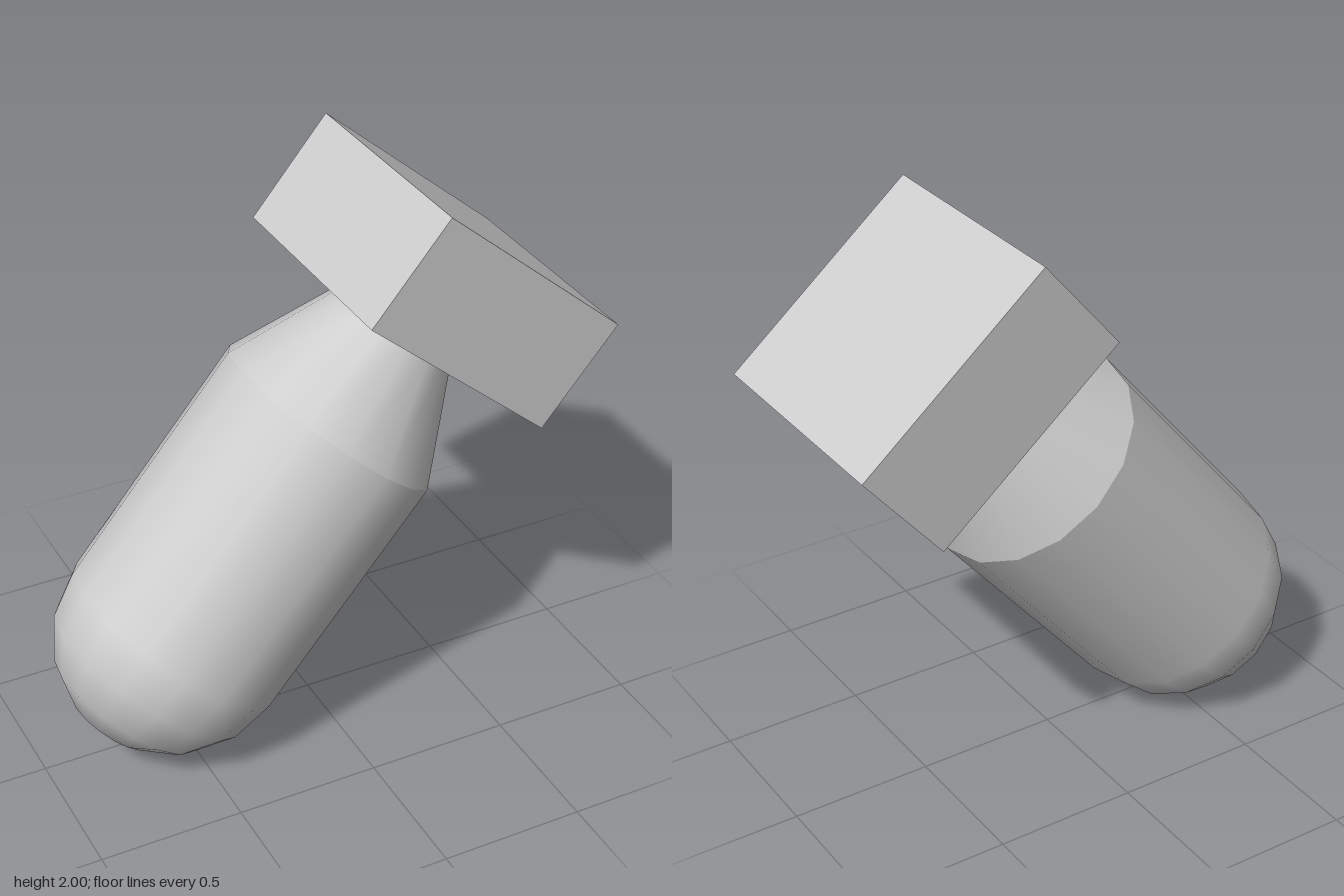
import * as THREE from 'three';

export function createModel() {
  const model = new THREE.Group();
  model.name = 'tiltedBottle';
  const material = new THREE.MeshStandardMaterial({ color: 0xcccccc });

  const R = 0.408, neckR = 0.222, sides = 16;
  const bodyLen = 0.917, neckLen = 0.39;
  const capWidth = 0.834, capHeight = 0.419;

  // The whole piece leans 40 degrees toward +x, pivoting at the round end's centre
  const tilted = new THREE.Group();
  tilted.name = 'tiltedAssembly';
  tilted.position.set(-0.513, 0.41, 0);
  tilted.rotation.z = -THREE.MathUtils.degToRad(40);
  model.add(tilted);

  const add = (name, geometry, y) => {
    const mesh = new THREE.Mesh(geometry, material);
    mesh.name = name;
    mesh.position.y = y;
    tilted.add(mesh);
  };

  // Rounded lower end
  add('roundedEnd', new THREE.SphereGeometry(R, sides, 4, 0, Math.PI * 2, Math.PI / 2, Math.PI / 2), 0);
  // Straight body
  add('body', new THREE.CylinderGeometry(R, R, bodyLen, sides, 1, true), bodyLen / 2);
  // Tapered neck
  add('neck', new THREE.CylinderGeometry(neckR, R, neckLen, sides, 1, true), bodyLen + neckLen / 2);
  // Square block on top
  add('topBlock', new THREE.BoxGeometry(capWidth, capHeight, capWidth), bodyLen + neckLen + capHeight / 2);

  return model;
}
